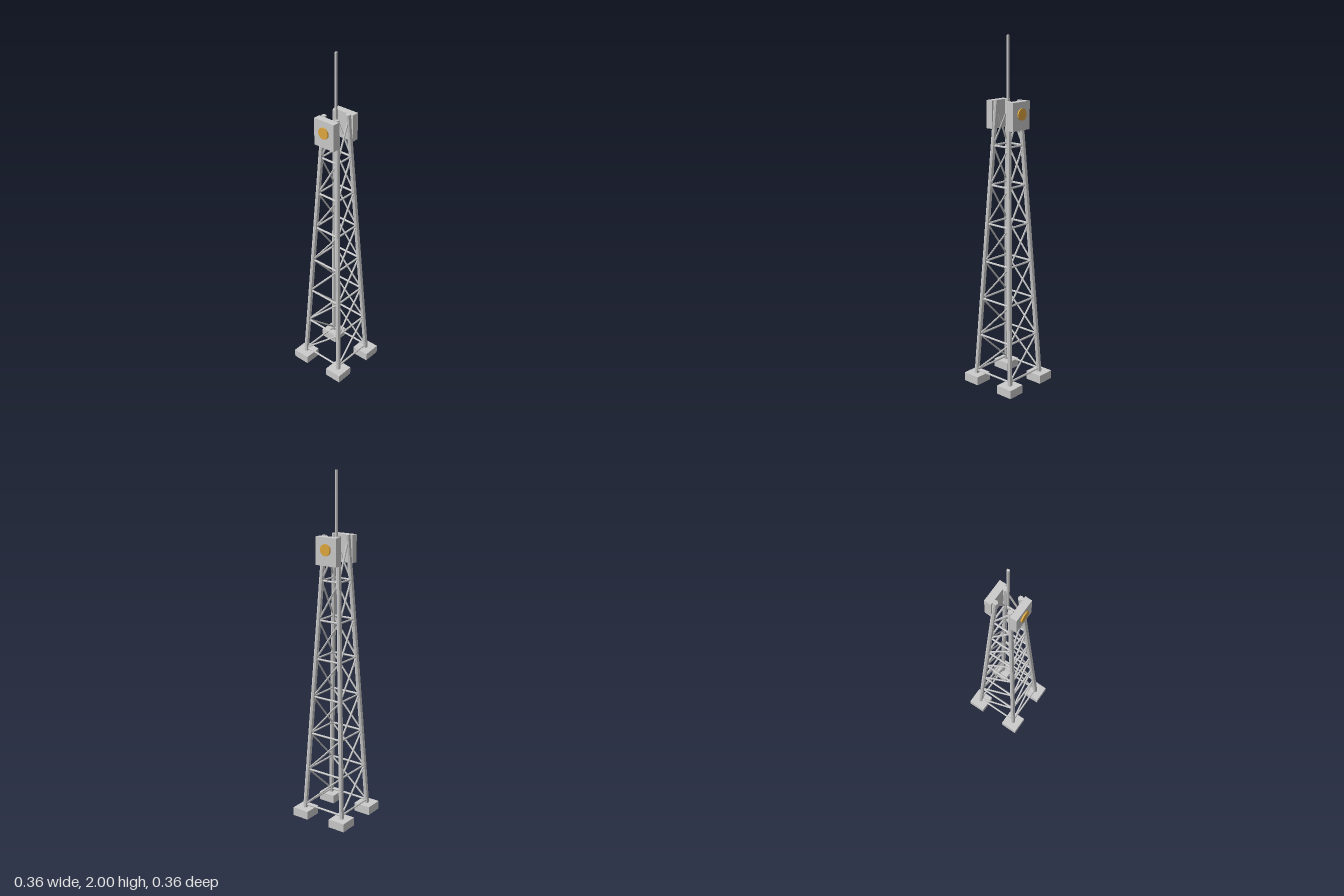
import * as THREE from 'three';

export function createModel() {
  const model = new THREE.Group();
  const grey = new THREE.MeshStandardMaterial({ color: 0xcccccc, flatShading: true });
  const amber = new THREE.MeshStandardMaterial({ color: 0xe0a840, flatShading: true });

  const add = (name, geometry, material, x, y, z) => {
    const mesh = new THREE.Mesh(geometry, material);
    mesh.name = name;
    mesh.position.set(x, y, z);
    model.add(mesh);
    return mesh;
  };

  // Straight bar between two points
  const UP = new THREE.Vector3(0, 1, 0);
  const bar = (name, a, b, radius, sides) => {
    const dir = b.clone().sub(a);
    const mid = a.clone().add(b).multiplyScalar(0.5);
    const mesh = add(name, new THREE.CylinderGeometry(radius, radius, dir.length(), sides), grey, mid.x, mid.y, mid.z);
    mesh.quaternion.setFromUnitVectors(UP, dir.normalize());
  };

  // Leg centre line: corners run round the tower, tapering with height
  const corners = [[1, -1], [-1, -1], [-1, 1], [1, 1]];
  const legPoint = (k, y) => {
    const r = THREE.MathUtils.mapLinear(y, 0.05, 1.65, 0.13, 0.045);
    const [sx, sz] = corners[k % 4];
    return new THREE.Vector3(sx * r, y, sz * r);
  };

  // Four footings and legs
  corners.forEach(([sx, sz], k) => {
    add('footing', new THREE.BoxGeometry(0.104, 0.05, 0.104), grey, sx * 0.129, 0.025, sz * 0.129);
    bar('leg', legPoint(k, 0.04), legPoint(k, 1.655), 0.014, 8);
  });

  // Lattice: a ring of struts per level and one rising brace per face and bay
  const bays = 7, base = 0.068, step = 0.223;
  for (let i = 0; i < bays; i++) {
    const y = base + i * step;
    for (let k = 0; k < 4; k++) {
      bar('strut', legPoint(k, y), legPoint(k + 1, y), 0.006, 6);
      bar('brace', legPoint(k, y), legPoint(k + 1, y + step), 0.0055, 6);
    }
  }

  // Lamp housings on front and back
  for (const s of [1, -1]) {
    add('lampHousing', new THREE.BoxGeometry(0.135, 0.155, 0.041), grey, 0, 1.575, s * 0.0765);
    const lens = add('lampLens', new THREE.CylinderGeometry(0.033, 0.033, 0.012, 16), amber, 0, 1.585, s * 0.099);
    lens.rotation.x = Math.PI / 2;
  }

  // Antenna mast
  add('antenna', new THREE.CylinderGeometry(0.008, 0.008, 0.4, 8), grey, 0, 1.8, 0);

  return model;
}
